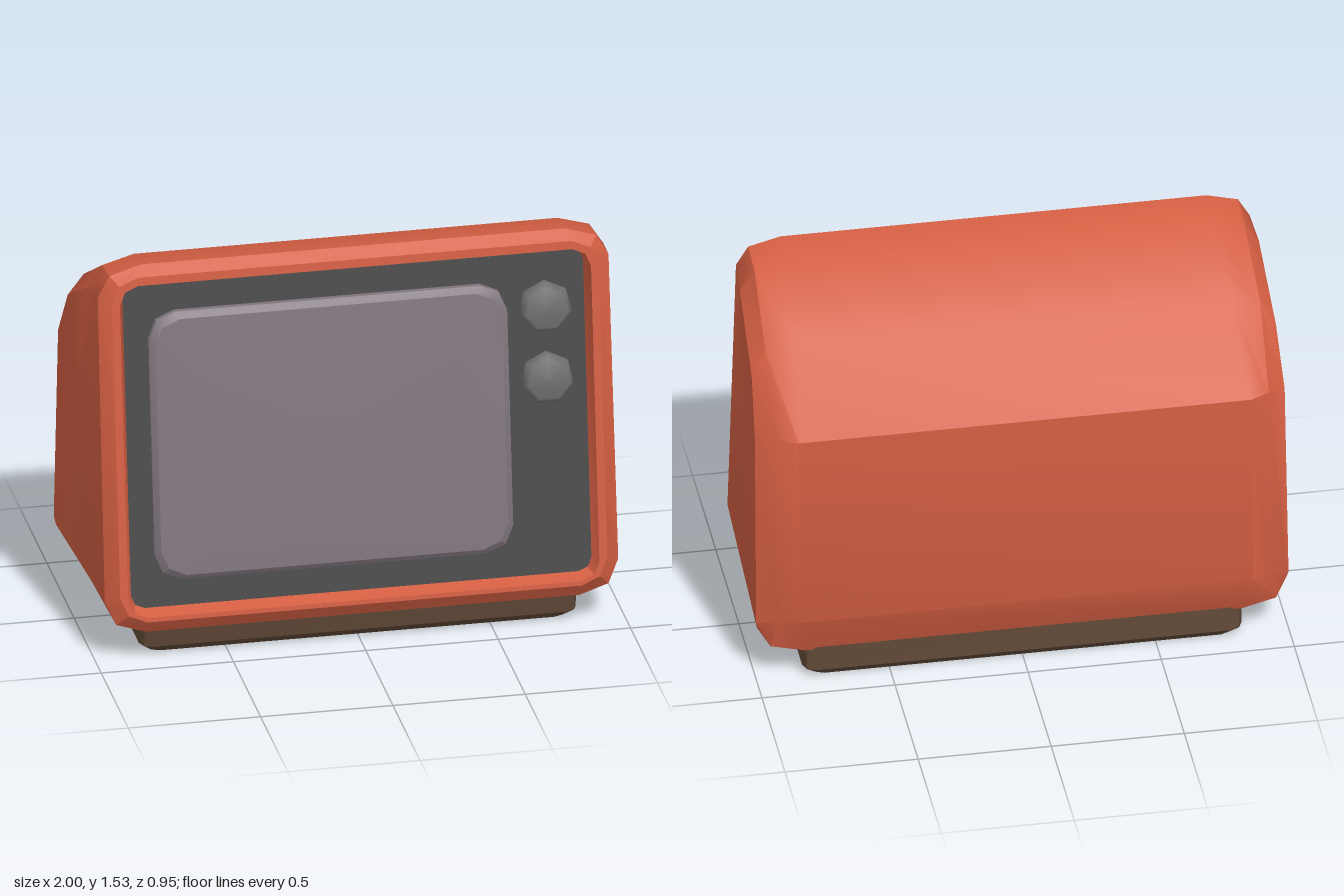
import * as THREE from 'three';
import { toCreasedNormals } from 'three/addons/utils/BufferGeometryUtils.js';

// Skin between cross-sections (counter-clockwise around the direction of travel)
function loft(rings, { closed = true, start = false, end = false, crease = 0.6 } = {}) {
  const out = [];
  const tri = (...pts) => pts.forEach((p) => out.push(...p));
  for (let r = 0; r < rings.length - 1; r++) {
    const a = rings[r], b = rings[r + 1], n = a.length;
    for (let i = 0; i < (closed ? n : n - 1); i++) {
      const j = (i + 1) % n;
      tri(a[i], a[j], b[j]);
      tri(a[i], b[j], b[i]);
    }
  }
  const cap = (ring, flip) => {
    const c = [0, 1, 2].map((k) => ring.reduce((s, p) => s + p[k], 0) / ring.length);
    ring.forEach((p, i) => {
      const q = ring[(i + 1) % ring.length];
      flip ? tri(c, q, p) : tri(c, p, q);
    });
  };
  if (start) cap(rings[0], true);
  if (end) cap(rings[rings.length - 1], false);
  const geo = new THREE.BufferGeometry();
  geo.setAttribute('position', new THREE.Float32BufferAttribute(out, 3));
  return toCreasedNormals(geo, crease);
}

// Rectangle with cut corners, counter-clockwise; k places the middle corner point
function cutRect(x0, x1, y0, y1, c, k = 0.3) {
  const d = c * k;
  return [
    [x1, y0 + c], [x1, y1 - c], [x1 - d, y1 - d], [x1 - c, y1],
    [x0 + c, y1], [x0 + d, y1 - d], [x0, y1 - c],
    [x0, y0 + c], [x0 + d, y0 + d], [x0 + c, y0], [x1 - c, y0], [x1 - d, y0 + d],
  ];
}

// The front leans back: depth of its plane at height y
const SLOPE = 0.18 / 1.315;
const frontZ = (y) => 0.475 - (y - 0.185) * SLOPE;
const onFront = (pts, d) => pts.map(([x, y]) => [x, y, frontZ(y) + d]);

export function createModel() {
  const model = new THREE.Group();
  const paint = (color) => new THREE.MeshStandardMaterial({ color });
  const add = (name, geo, mat) => {
    const mesh = new THREE.Mesh(geo, mat);
    mesh.name = name;
    model.add(mesh);
    return mesh;
  };
  const shellMat = paint(0xd35e42);
  const panelMat = paint(0x4a4a4a);
  const knobMat = paint(0x6e6e6e);

  // Side profiles from bottom front, round the back, to top front
  const inner = [
    [0.82, 0.125, 0.44], [0.82, 0.125, -0.4], [0.85, 0.3, -0.475], [0.85, 1.07, -0.43],
    [0.82, 1.35, -0.16], [0.8, 1.52, 0.125], [0.8, 1.535, 0.255],
  ];
  const middle = [
    [0.93, 0.16, 0.435], [0.95, 0.155, -0.395], [0.925, 0.28, -0.425], [0.925, 1.06, -0.38],
    [0.93, 1.32, -0.165], [0.92, 1.485, 0.125], [0.92, 1.5, 0.26],
  ];
  const outer = [
    [0.97, 0.25, 0.42], [0.995, 0.22, -0.36], [1, 0.25, -0.375], [0.995, 1.03, -0.32],
    [0.985, 1.23, -0.19], [0.975, 1.4, 0.125], [0.965, 1.42, 0.265],
  ];
  const mirror = (pts) => pts.map(([x, y, z]) => [-x, y, z]);
  const stations = [mirror(outer), mirror(middle), mirror(inner), inner, middle, outer];
  add('cabinet', loft(stations, { closed: false, start: true, end: true }), shellMat);

  // Frame: starts on the cabinet's open front edge and turns in to the panel
  const right = [outer[0], outer[6], middle[6], inner[6]];
  const left = mirror([inner[6], middle[6], outer[6], outer[0], middle[0], inner[0]]);
  const openEdge = [...right, ...left, inner[0], middle[0]];
  const panelEdge = onFront(cutRect(-0.87, 0.87, 0.213, 1.456, 0.05), -0.05);
  add('frontFrame', loft([
    openEdge,
    onFront(cutRect(-0.92, 0.92, 0.178, 1.5, 0.1), 0),
    onFront(cutRect(-0.89, 0.89, 0.195, 1.468, 0.07), 0),
    panelEdge,
  ], { crease: 0.45 }), shellMat);

  // Control panel behind the frame
  add('frontPanel', loft([panelEdge], { end: true }), panelMat);

  // Slightly domed screen with a bevelled edge
  const screenRing = (inset, d, c) =>
    onFront(cutRect(-0.78 + inset, 0.575 - inset, 0.32 + inset, 1.345 - inset, c), d);
  add('screen', loft([
    screenRing(0, -0.06, 0.1),
    screenRing(0, -0.03, 0.1),
    screenRing(0.022, -0.012, 0.095),
    screenRing(0.2, -0.003, 0.07),
  ], { end: true, crease: 0.4 }), paint(0x7f747d));

  // Seven-sided knobs
  const knobProfile = [[0.1, 0], [0.1, 0.025], [0.08, 0.048], [0.0001, 0.055]]
    .map(([r, y]) => new THREE.Vector2(r, y));
  const knobGeo = new THREE.LatheGeometry(knobProfile, 7, Math.PI);
  [['upperKnob', 1.24], ['lowerKnob', 0.968]].forEach(([name, y]) => {
    const knob = add(name, knobGeo, knobMat);
    knob.position.set(0.72, y, frontZ(y) - 0.05);
    knob.rotation.x = Math.PI / 2 - Math.atan(SLOPE);
  });

  // Plinth, lofted upwards with a bevelled foot
  const level = (w, back, front, y) =>
    cutRect(-w, w, -front, -back, 0.045).map(([x, t]) => [x, y, -t]);
  add('base', loft([
    level(0.79, -0.375, 0.345, 0),
    level(0.825, -0.405, 0.385, 0.035),
    level(0.825, -0.405, 0.405, 0.14),
  ], { start: true, end: true, crease: 0.5 }), paint(0x624a38));

  return model;
}
